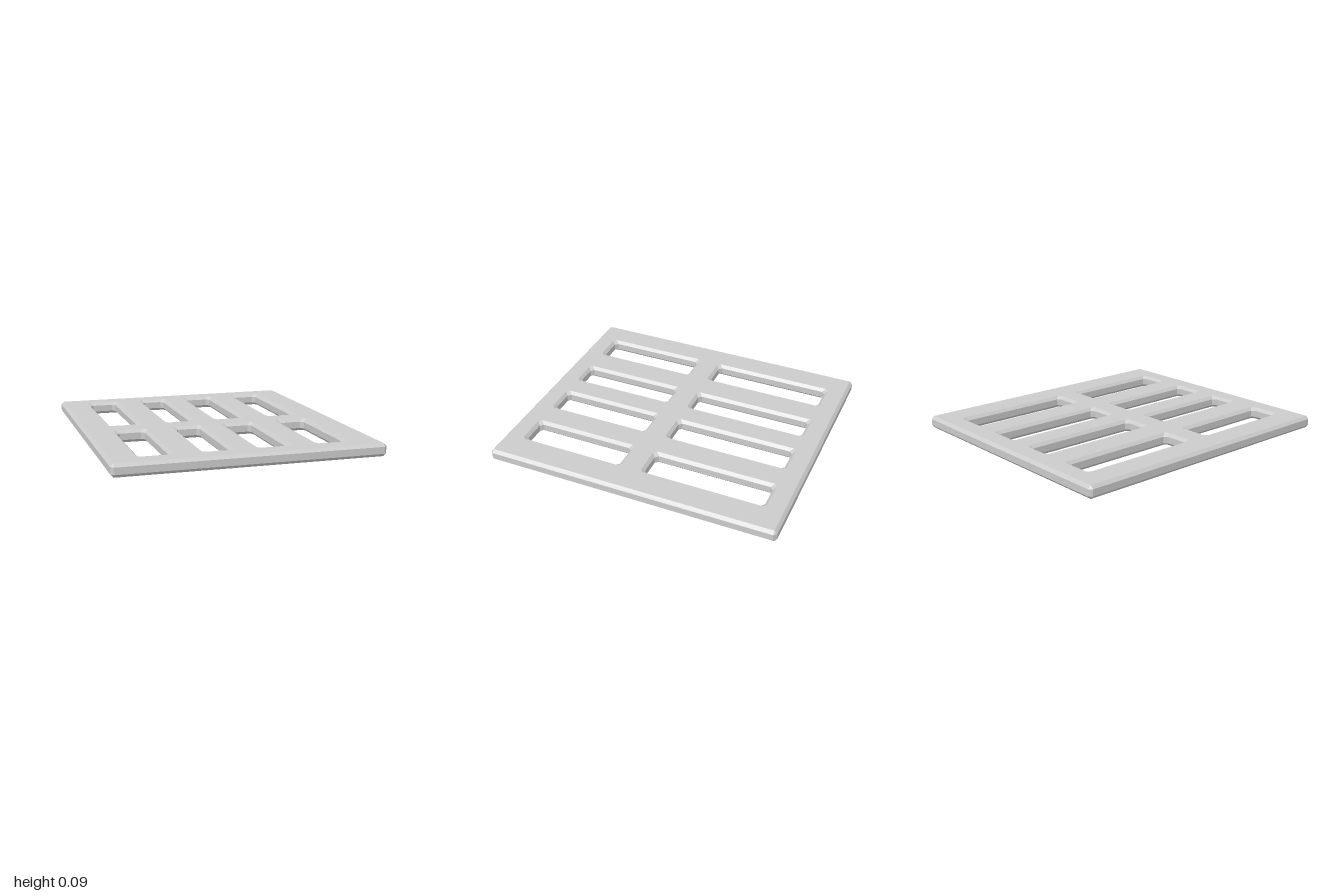
import * as THREE from 'three';

const HEIGHT = 0.085;
const BEVEL = 0.02;

// Rectangle outline with cut corners, grown by `grow` on every side
function outline([x0, x1, z0, z1], grow, cut) {
  x0 -= grow; z0 -= grow; x1 += grow; z1 += grow;
  return [
    [x1, z0 + cut], [x1, z1 - cut], [x1 - cut, z1], [x0 + cut, z1],
    [x0, z1 - cut], [x0, z0 + cut], [x0 + cut, z0], [x1 - cut, z0],
  ].map(([x, z]) => new THREE.Vector2(x, z));
}

export function createModel() {
  const positions = [];
  const vertex = (p, y) => new THREE.Vector3(p.x, y, p.y);
  const triangle = (a, b, c) => {
    if (a.equals(b) || b.equals(c) || c.equals(a)) return;
    for (const v of [a, b, c]) positions.push(v.x, v.y, v.z);
  };

  // Wall with a bevel above and below, running round one outline
  function wall(cap, middle, inward) {
    const rings = [
      [cap, HEIGHT], [middle, HEIGHT - BEVEL], [middle, BEVEL], [cap, 0],
    ].map(([loop, y]) => {
      const ring = loop.map((p) => vertex(p, y));
      return inward ? ring.reverse() : ring;
    });
    for (let r = 0; r < 3; r++) {
      const top = rings[r], low = rings[r + 1];
      for (let i = 0; i < top.length; i++) {
        const j = (i + 1) % top.length;
        triangle(top[i], top[j], low[i]);
        triangle(top[j], low[j], low[i]);
      }
    }
  }

  // Outer edge: square cap corners, chamfered upright corners
  const plate = [-0.88, 0.88, -1, 1];
  const plateCap = outline(plate, -BEVEL, 0);
  wall(plateCap, outline(plate, 0, BEVEL), false);

  // Two rows of four slots
  const columns = [[-0.697, -0.467], [-0.294, -0.084], [0.06, 0.29], [0.452, 0.682]];
  const rows = [[-0.865, -0.005], [0.135, 0.87]];
  const slotCaps = [];
  for (const row of rows) {
    for (const column of columns) {
      const slot = [...column, ...row];
      const cap = outline(slot, 0, 0.02);
      wall(cap, outline(slot, -BEVEL, 0.022), true);
      slotCaps.push(cap);
    }
  }

  // Top and bottom faces, pierced by the slots
  const corners = plateCap.filter((p, i) => i % 2 === 0);
  const points = [corners, ...slotCaps].flat();
  for (const [a, b, c] of THREE.ShapeUtils.triangulateShape(corners, slotCaps)) {
    triangle(vertex(points[a], 0), vertex(points[b], 0), vertex(points[c], 0));
    triangle(vertex(points[c], HEIGHT), vertex(points[b], HEIGHT), vertex(points[a], HEIGHT));
  }

  const geometry = new THREE.BufferGeometry();
  geometry.setAttribute('position', new THREE.Float32BufferAttribute(positions, 3));
  geometry.computeVertexNormals();

  const mesh = new THREE.Mesh(
    geometry,
    new THREE.MeshStandardMaterial({ color: 0xcccccc, flatShading: true }),
  );
  mesh.name = 'slottedPlate';

  const group = new THREE.Group();
  group.name = 'grate';
  group.add(mesh);
  return group;
}
